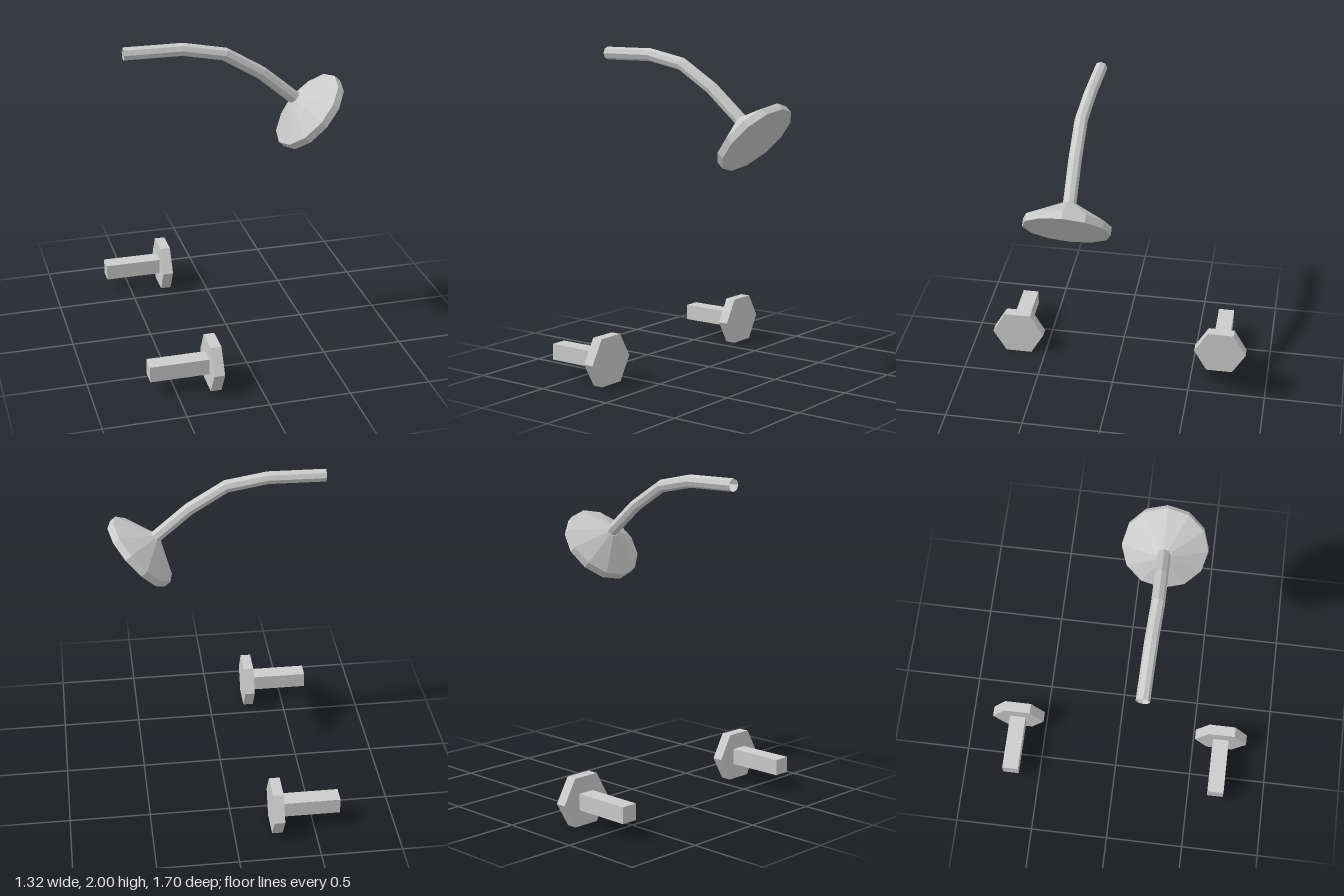
import * as THREE from 'three';

const grey = new THREE.MeshStandardMaterial({ color: 0xcccccc, flatShading: true });
const greyOpen = new THREE.MeshStandardMaterial({ color: 0xcccccc, flatShading: true, side: THREE.DoubleSide });

function addMesh(parent, name, geometry, material = grey) {
  const mesh = new THREE.Mesh(geometry, material);
  mesh.name = name;
  parent.add(mesh);
  return mesh;
}

// Curve through a few joints, with the bend shared evenly at each joint
class JointedPath extends THREE.Curve {
  constructor(points) {
    super();
    this.points = points;
  }
  getPointAt(u) {
    return this.points[Math.round(u * (this.points.length - 1))].clone();
  }
  getTangentAt(u) {
    const p = this.points, i = Math.round(u * (p.length - 1));
    const t = new THREE.Vector3();
    if (i > 0) t.add(p[i].clone().sub(p[i - 1]).normalize());
    if (i < p.length - 1) t.add(p[i + 1].clone().sub(p[i]).normalize());
    return t.normalize();
  }
}

// Six-sided tap with a square stem running back to the wall
function createTap(name, z) {
  const tap = new THREE.Group();
  tap.name = name;
  tap.position.set(0, 0.149, z);
  const handle = addMesh(tap, 'tapHandle',
    new THREE.CylinderGeometry(0.171, 0.171, 0.066, 6).rotateZ(-Math.PI / 2));
  handle.position.x = -0.265;
  const stem = addMesh(tap, 'tapStem', new THREE.BoxGeometry(0.36, 0.1, 0.104));
  stem.position.x = -0.478;
  return tap;
}

export function createModel() {
  const model = new THREE.Group();
  model.name = 'shower';

  // Bent pipe, open at the wall end
  const joints = [
    [-0.66, 1.96, 0.18], [-0.31, 1.96, 0.187], [-0.06, 1.913, 0.197],
    [0.165, 1.775, 0.194], [0.374, 1.597, 0.19],
  ].map((p) => new THREE.Vector3(...p));
  addMesh(model, 'pipe',
    new THREE.TubeGeometry(new JointedPath(joints), joints.length - 1, 0.04, 8, false), greyOpen);

  // Shower head: flared cone with a short rim and a flat face
  const profile = [[0, 0], [0.26, 0], [0.26, 0.048], [0.04, 0.163], [0, 0.163]]
    .map(([r, h]) => new THREE.Vector2(r, h));
  const head = addMesh(model, 'showerHead',
    new THREE.LatheGeometry(profile, 12).rotateY(THREE.MathUtils.degToRad(2)));
  head.position.set(0.4875, 1.485, 0.19);
  head.rotation.z = Math.atan2(0.74, 0.672);

  // Pair of taps
  for (const side of [-1, 1]) {
    model.add(createTap(side > 0 ? 'frontTap' : 'backTap', side * 0.68));
  }
  return model;
}
